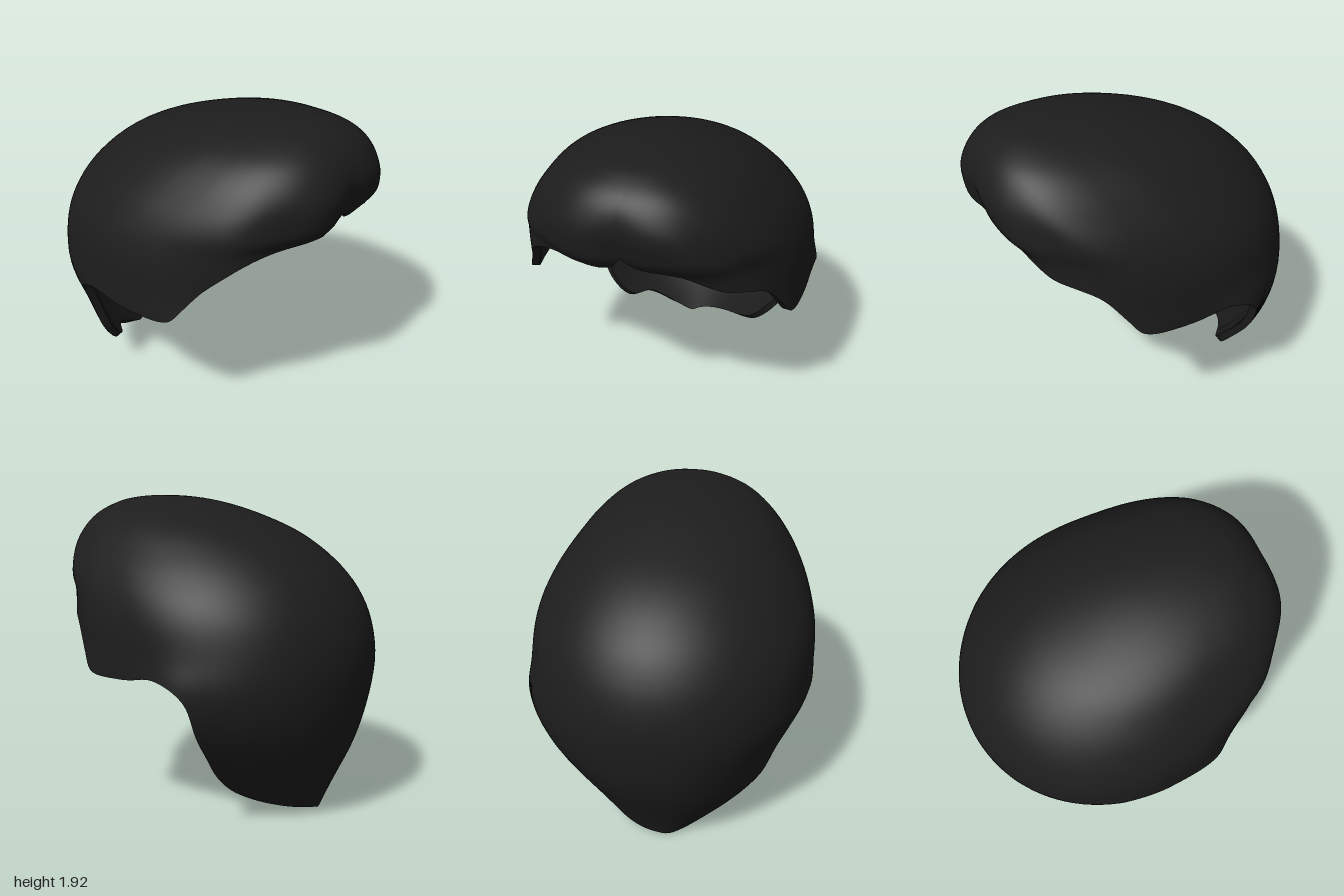
import * as THREE from 'three';

const COLS = 200, ROWS = 44, TOP = 1.92, THICK = 0.05;

// Horizontal sections of the hair: y, back z, front z, half width
const sections = [
  [1.92, 0.5, 0.5, 0], [1.9, 0.2, 0.73, 0.2], [1.86, 0, 0.83, 0.34], [1.8, -0.2, 0.91, 0.47],
  [1.7, -0.46, 0.975, 0.6], [1.6, -0.63, 1, 0.69], [1.5, -0.75, 0.985, 0.765], [1.42, -0.825, 0.96, 0.81],
  [1.34, -0.88, 0.9, 0.845], [1.2, -0.95, 0.86, 0.88], [1, -1, 0.86, 0.89], [0.85, -1, 0.9, 0.89],
  [0.6, -0.965, 0.96, 0.8], [0.4, -0.9, 0.9, 0.7], [0.2, -0.81, 0.81, 0.58], [0, -0.73, 0.73, 0.42],
];

// Hairline: angle around the head in degrees (0 front, 90 left), height
const hairline = [
  [0, 1.44], [3, 1.37], [10, 1.36], [18, 1.34], [25, 1.28], [32, 1.23], [44, 1.19], [54, 1.13],
  [65, 0.97], [72, 0.88], [86, 0.87], [100, 0.9], [111, 0.84], [116, 0.75], [119, 0.5], [120.5, 0.3],
  [125, 0.2], [135, 0.13], [150, 0.08], [180, 0.02], [190, 0], [205, 0.06], [220, 0.17], [234, 0.2],
  [239, 0.33], [242, 0.6], [245, 0.77], [250, 0.84], [260, 0.9], [275, 0.87], [290, 0.88],
  [297, 0.97], [307, 1.13], [319, 1.27], [333, 1.34], [346, 1.36], [357, 1.35], [360, 1.44],
];

// Sections are blended over sqrt(depth below the crown) so the crown is round
const blend = new THREE.CubicInterpolant(
  sections.map(([y]) => Math.sqrt(TOP - y)),
  sections.flatMap(([, back, front, w]) => [back, front, w]), 3);

const power = (v, e) => Math.sign(v) * Math.abs(v) ** e;
const bump = (v, middle, width) => Math.exp(-(((v - middle) / width) ** 2));

function surfacePoint(angle, y) {
  const [back, front, w] = blend.evaluate(Math.sqrt(Math.max(0, TOP - y)));
  const s = Math.sin(angle), c = Math.cos(angle);
  // The front half is squarer than the back, most of all on the left
  const square = 1 - (0.16 + 0.07 * THREE.MathUtils.smoothstep(s, -0.5, 0.5))
    * THREE.MathUtils.smoothstep(c, -0.1, 0.25);
  // Soft locks around the fringe, with a parting in the middle
  const fringe = Math.max(0, c) * THREE.MathUtils.smoothstep(TOP - y, 0.1, 0.5);
  const fromMiddle = angle > Math.PI ? angle - 2 * Math.PI : angle;
  const k = 1 + 0.014 * fringe * Math.sin(angle * 9 + 1.5 + y * 6)
    - 0.03 * fringe * Math.exp(-(fromMiddle ** 2) * 150);
  // Flare of the nape edges behind the ears
  const behind = THREE.MathUtils.smoothstep(-c, 0, 0.4);
  const flare = behind * (0.105 * Math.max(0, s) * bump(y, 0.63, 0.3)
    + 0.05 * Math.min(0, s) * bump(y, 0.32, 0.2));
  return new THREE.Vector3(
    k * w * power(s, square) + flare,
    y,
    (back + front) / 2 + k * power(c, square) * (front - back) / 2);
}

// Crown vertex followed by rings that stretch from the crown to the hairline
function gridIndex(flip) {
  const index = [];
  const tri = (a, b, c) => index.push(...(flip ? [a, c, b] : [a, b, c]));
  const at = (i, j) => 1 + i * COLS + (j % COLS);
  for (let j = 0; j < COLS; j++) {
    tri(0, at(0, j), at(0, j + 1));
    for (let i = 0; i < ROWS - 1; i++) {
      tri(at(i, j), at(i + 1, j), at(i + 1, j + 1));
      tri(at(i, j), at(i + 1, j + 1), at(i, j + 1));
    }
  }
  return index;
}

function makeGeometry(points, index) {
  const g = new THREE.BufferGeometry().setFromPoints(points);
  g.setIndex(index);
  g.computeVertexNormals();
  return g;
}

export function createModel() {
  const group = new THREE.Group();
  group.name = 'hair';
  const black = new THREE.MeshStandardMaterial({ color: 0x1d1d1d });
  black.name = 'black hair';
  const add = (name, geometry) => {
    const mesh = new THREE.Mesh(geometry, black);
    mesh.name = name;
    group.add(mesh);
  };

  const edge = new THREE.CatmullRomCurve3(hairline.map(([deg, y]) =>
    new THREE.Vector3(THREE.MathUtils.degToRad(deg), y, 0))).getSpacedPoints(COLS);

  // Outer hair
  const outer = [new THREE.Vector3(0, TOP, 0.5)];
  for (let i = 1; i <= ROWS; i++) {
    const drop = 1 - Math.cos((i / ROWS) * Math.PI / 2);
    for (let j = 0; j < COLS; j++) {
      outer.push(surfacePoint(edge[j].x, TOP - (TOP - Math.max(0, edge[j].y)) * drop));
    }
  }
  const outerGeometry = makeGeometry(outer, gridIndex(false));
  add('outerHair', outerGeometry);

  // Inner lining, offset along the normals and kept above the ground
  const normals = outerGeometry.attributes.normal;
  const inner = outer.map((p, n) => {
    const q = p.clone().addScaledVector(
      new THREE.Vector3().fromBufferAttribute(normals, n), -THICK);
    q.y = Math.max(q.y, 0.01);
    return q;
  });
  add('innerLining', makeGeometry(inner, gridIndex(true)));

  // Rim that joins both skins along the hairline
  const start = 1 + (ROWS - 1) * COLS;
  const rim = [...outer.slice(start), ...inner.slice(start)];
  const rimIndex = [];
  for (let j = 0; j < COLS; j++) {
    const k = (j + 1) % COLS;
    rimIndex.push(j, COLS + j, COLS + k, j, COLS + k, k);
  }
  add('hairlineRim', makeGeometry(rim, rimIndex));

  return group;
}
